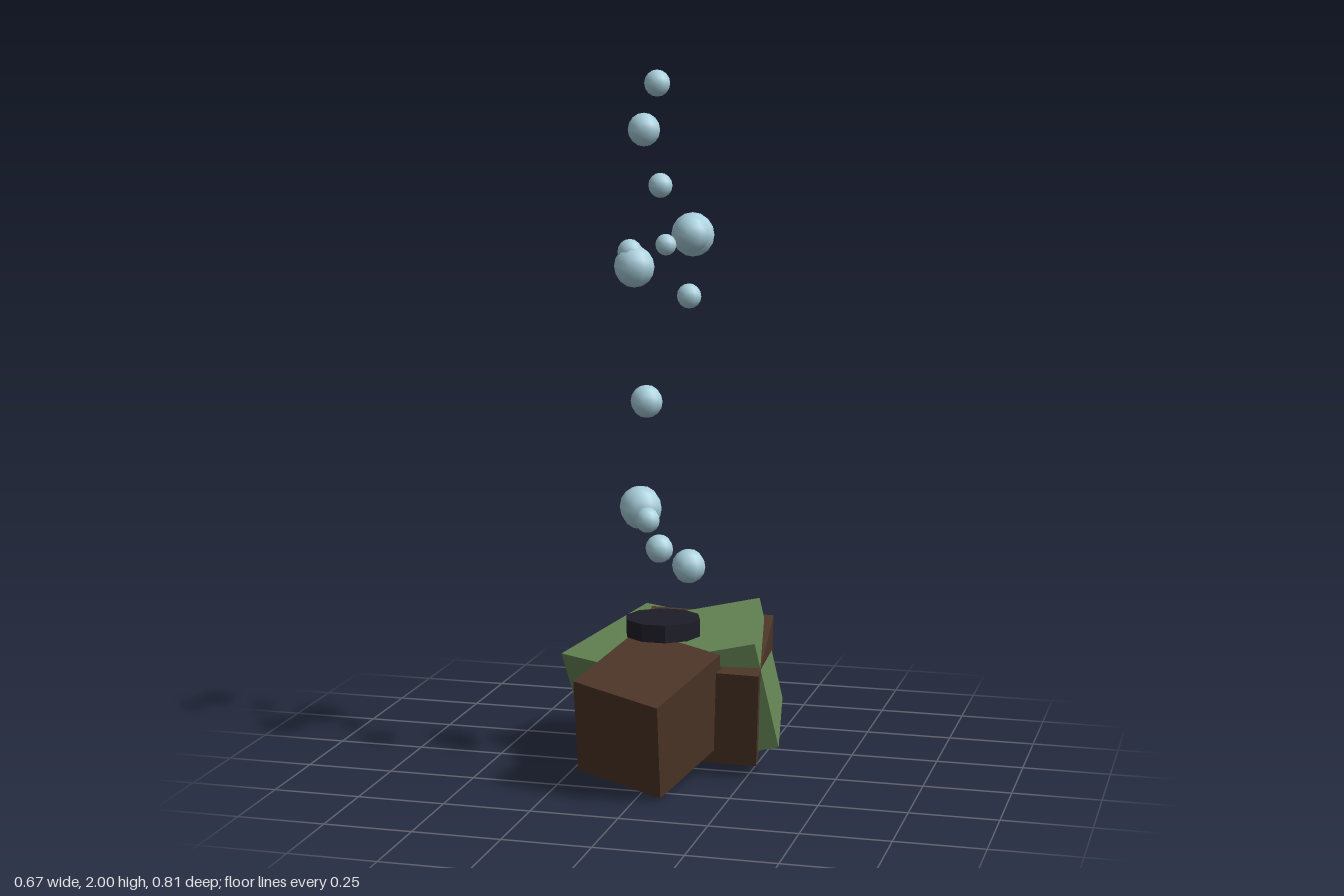
import * as THREE from 'three';

const material = (name, color) => {
  const m = new THREE.MeshStandardMaterial({ color });
  m.name = name;
  return m;
};

// Rectangular block given by one corner and its three edge vectors
function block(name, mat, corner, u, v, w) {
  const [c, a, b, d] = [corner, u, v, w].map((p) => new THREE.Vector3(...p));
  const centre = c.clone().addScaledVector(a, 0.5).addScaledVector(b, 0.5).addScaledVector(d, 0.5);
  // keep the frame right-handed so faces point outward
  if (a.clone().cross(b).dot(d) < 0) d.negate();
  const size = [a.length(), b.length(), d.length()];
  const mesh = new THREE.Mesh(new THREE.BoxGeometry(...size), mat);
  const x = a.clone().normalize();
  const y = b.clone().addScaledVector(x, -b.dot(x)).normalize();
  const z = x.clone().cross(y);
  mesh.quaternion.setFromRotationMatrix(new THREE.Matrix4().makeBasis(x, y, z));
  mesh.position.copy(centre);
  mesh.name = name;
  return mesh;
}

export function createModel() {
  const model = new THREE.Group();
  model.name = 'bubblingRocks';

  const brown = material('brown rock', 0x4d3528);
  const green = material('mossy green', 0x668655);
  const dark = material('dark vent', 0x1d1d28);
  const blue = material('pale blue bubble', 0xa9d0dd);

  // Tumbled pile of overlapping blocks
  const rocks = new THREE.Group();
  rocks.name = 'rockPile';
  rocks.add(
    block('frontRock', brown, [0.082, 0.288, 0.404], [-0.262, 0.037, -0.082], [-0.012, -0.28, -0.084], [0.106, 0.09, -0.292]),
    block('rightMossyRock', green, [-0.335, 0.3, -0.071], [0.186, 0.102, -0.27], [0.062, -0.284, -0.067], [0.26, 0.013, 0.186]),
    block('topMossyRock', green, [0.221, 0.463, -0.241], [0.057, -0.06, 0.311], [0.056, -0.317, -0.068], [-0.394, -0.082, 0.056]),
    block('backRock', brown, [0.298, 0.32, 0.105], [-0.043, 0.085, -0.383], [-0.02, -0.279, -0.06], [-0.359, 0.012, 0.042])
  );
  model.add(rocks);

  // Flat vent disc the bubbles rise from
  const disc = new THREE.CylinderGeometry(0.108, 0.108, 0.05, 10, 1, false, Math.PI / 2).toNonIndexed();
  disc.computeVertexNormals();
  const vent = new THREE.Mesh(disc, dark);
  vent.name = 'vent';
  vent.position.set(0.007, 0.435, 0.055);
  model.add(vent);

  // Rising bubbles: x, y, z, radius
  const bubbles = new THREE.Group();
  bubbles.name = 'bubbles';
  [
    [0.0, 1.965, 0.09, 0.037],
    [-0.068, 1.833, -0.02, 0.047],
    [-0.015, 1.68, 0.0, 0.035],
    [0.078, 1.545, -0.003, 0.062],
    [0.085, 1.55, 0.037, 0.052],
    [0.03, 1.525, 0.11, 0.03],
    [-0.065, 1.505, 0.137, 0.036],
    [-0.053, 1.465, 0.137, 0.058],
    [0.085, 1.38, 0.066, 0.035],
    [-0.02, 1.09, 0.13, 0.046],
    [-0.068, 0.767, 0.02, 0.062],
    [-0.034, 0.742, 0.072, 0.036],
    [-0.028, 0.638, -0.035, 0.041],
    [0.068, 0.6, 0.0, 0.049]
  ].forEach(([x, y, z, r], i) => {
    const bubble = new THREE.Mesh(new THREE.SphereGeometry(r, 8, 8), blue);
    bubble.name = `bubble${i + 1}`;
    bubble.position.set(x, y, z);
    bubbles.add(bubble);
  });
  model.add(bubbles);

  return model;
}
